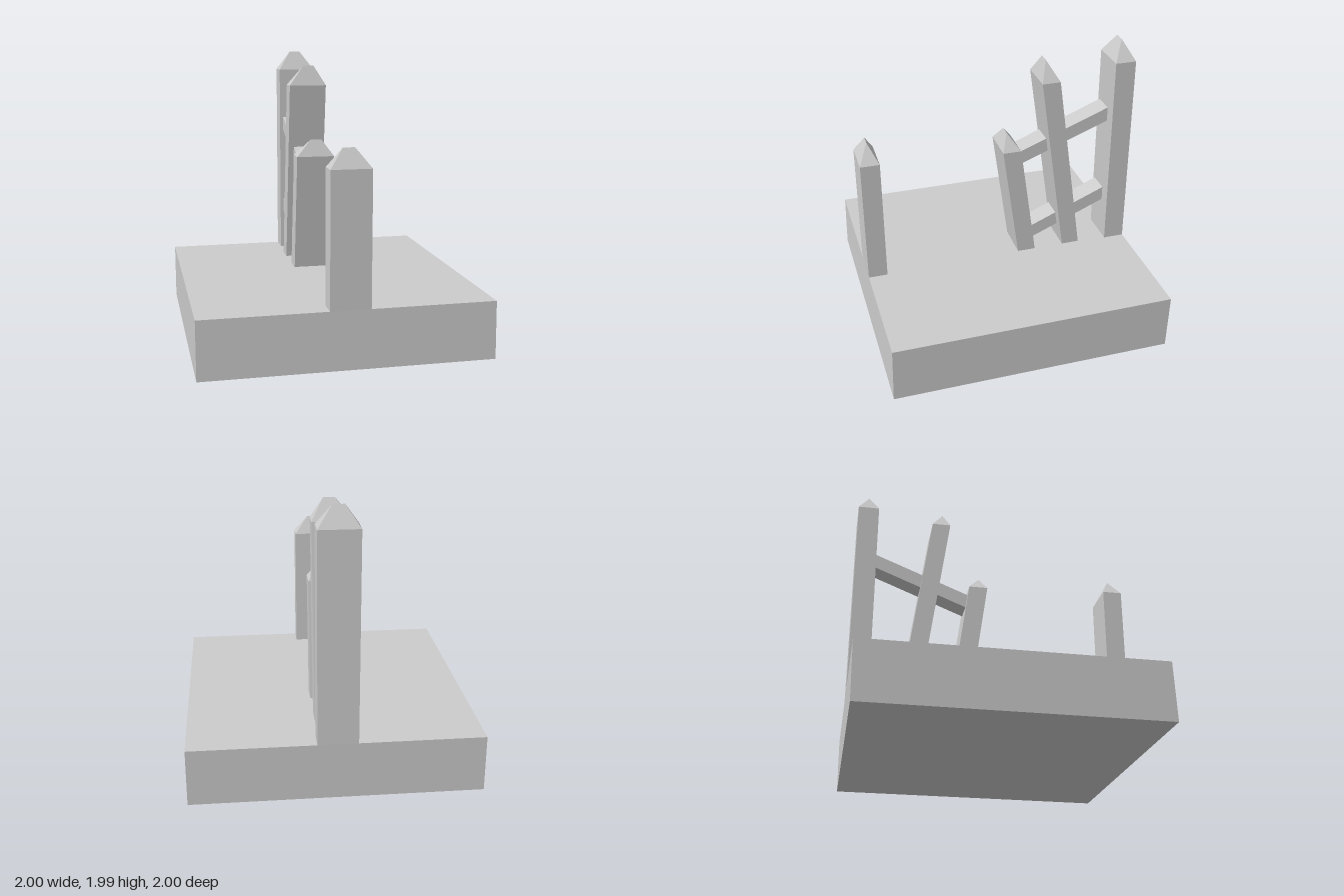
import * as THREE from 'three';

const material = new THREE.MeshStandardMaterial({ color: 0xcccccc, flatShading: true });

function addMesh(group, name, geometry) {
  const mesh = new THREE.Mesh(geometry, material);
  mesh.name = name;
  group.add(mesh);
}

// Side profile of [z, y] points, extruded across x from x0 to x1
function sideExtrude(points, x0, x1) {
  const shape = new THREE.Shape(points.map(([z, y]) => new THREE.Vector2(z, y)));
  const geometry = new THREE.ExtrudeGeometry(shape, { depth: x1 - x0, bevelEnabled: false });
  return geometry.rotateY(-Math.PI / 2).translate(x1, 0, 0);
}

// Loft through level rectangles [y, x0, x1, z0, z1], bottom to top
function loft(rings) {
  const corners = rings.map(([y, x0, x1, z0, z1]) => [[x0, y, z1], [x1, y, z1], [x1, y, z0], [x0, y, z0]]);
  const positions = [];
  for (let i = 0; i < corners.length - 1; i++) {
    for (let k = 0; k < 4; k++) {
      const n = (k + 1) % 4;
      const a = corners[i][k], b = corners[i][n], c = corners[i + 1][n], d = corners[i + 1][k];
      positions.push(...a, ...b, ...c, ...a, ...c, ...d);
    }
  }
  const geometry = new THREE.BufferGeometry();
  geometry.setAttribute('position', new THREE.Float32BufferAttribute(positions, 3));
  geometry.computeVertexNormals();
  return geometry;
}

// Post with a short ridge on top; foot and shoulder are [z0, z1], lean comes from their offset
function picket({ x0, x1, foot, shoulder, shoulderY, ridgeY, ridgeZ }) {
  return loft([
    [0.4, x0, x1, ...foot],
    [shoulderY, x0, x1, ...shoulder],
    [ridgeY, -0.045, 0.035, ridgeZ, ridgeZ],
  ]);
}

export function createModel() {
  const model = new THREE.Group();
  model.name = 'brokenFence';

  // Ground slab
  addMesh(model, 'base', sideExtrude([[1, 0], [0.99, 0.4], [-0.997, 0.4], [-0.99, 0]], -1, 0.995));

  // Upright end posts
  addMesh(model, 'frontPost', picket({
    x0: -0.14, x1: 0.135, foot: [0.853, 0.99], shoulder: [0.853, 0.99],
    shoulderY: 1.315, ridgeY: 1.445, ridgeZ: 0.92,
  }));
  addMesh(model, 'backPost', picket({
    x0: -0.14, x1: 0.135, foot: [-0.997, -0.847], shoulder: [-0.997, -0.847],
    shoulderY: 1.85, ridgeY: 1.99, ridgeZ: -0.92,
  }));

  // Leaning pickets
  addMesh(model, 'shortPicket', picket({
    x0: -0.155, x1: 0.12, foot: [-0.285, -0.152], shoulder: [-0.165, -0.032],
    shoulderY: 1.255, ridgeY: 1.375, ridgeZ: -0.08,
  }));
  addMesh(model, 'tallPicket', picket({
    x0: -0.155, x1: 0.12, foot: [-0.635, -0.505], shoulder: [-0.445, -0.313],
    shoulderY: 1.755, ridgeY: 1.9, ridgeZ: -0.36,
  }));

  // Sloping rails [name, front z, front y, back y], from the short picket to the back post
  for (const [name, z, yFront, yBack] of [['upperRail', -0.15, 1.09, 1.37], ['lowerRail', -0.25, 0.44, 0.7]]) {
    addMesh(model, name, sideExtrude(
      [[z, yFront], [z, yFront + 0.105], [-0.86, yBack + 0.105], [-0.86, yBack]], -0.115, 0.04));
  }
  return model;
}
